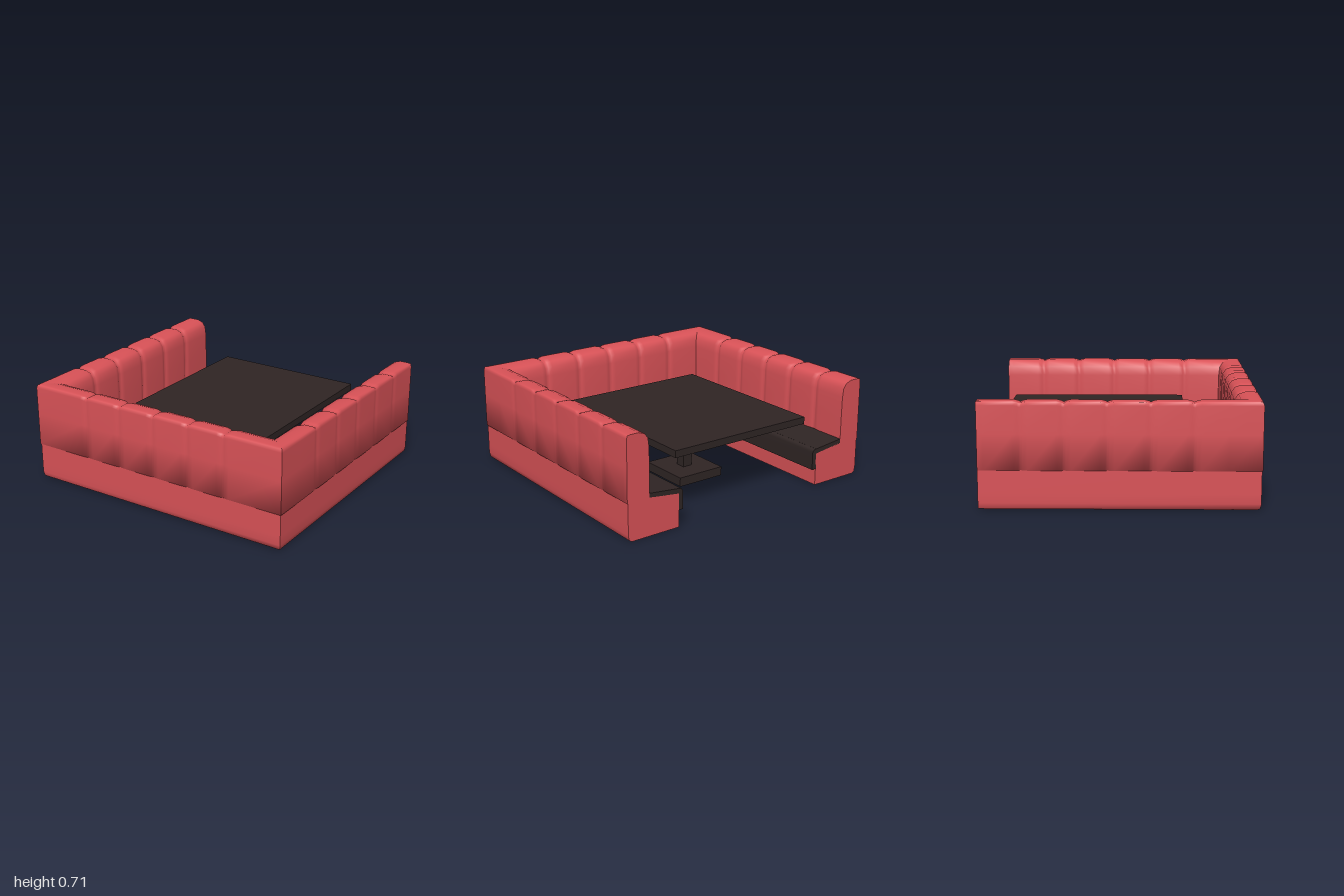
import * as THREE from 'three';

const red = new THREE.MeshStandardMaterial({ color: 0xd95257 });
red.name = 'red upholstery';
const dark = new THREE.MeshStandardMaterial({ color: 0x2f2524 });
dark.name = 'dark brown';

const HALF_X = 1, FRONT = 0.92, BACK = -0.92;

// Loft a convex closed profile through sections given as arrays of [x, y, z].
// Doubled profile points keep an edge sharp; single points are smooth.
function loft(sections, flip) {
  const pos = [], idx = [], n = sections[0].length;
  const tri = (a, b, c) => (flip ? idx.push(a, c, b) : idx.push(a, b, c));
  sections.forEach(s => s.forEach(p => pos.push(...p)));
  for (let i = 0; i + 1 < sections.length; i++) {
    for (let j = 0; j < n; j++) {
      const a = i * n + j, d = i * n + (j + 1) % n;
      tri(a, a + n, d + n);
      tri(a, d + n, d);
    }
  }
  [sections[0], sections[sections.length - 1]].forEach((s, end) => {
    const o = pos.length / 3;
    s.forEach(p => pos.push(...p));
    for (let k = 1; k + 1 < n; k++) {
      if (end) tri(o, o + k + 1, o + k);
      else tri(o, o + k, o + k + 1);
    }
  });
  const g = new THREE.BufferGeometry();
  g.setAttribute('position', new THREE.Float32BufferAttribute(pos, 3));
  g.setIndex(idx);
  g.computeVertexNormals();
  return g;
}

// Profile points are [inset from outer wall, height].
// Seams pinch the padding; a puffed panel lies between them.
function stations(seams, padded) {
  const list = [];
  seams.forEach(s => {
    if (padded) list.push([s - 0.045, 0], [s - 0.015, 0.45], [s, 1], [s + 0.015, 0.45], [s + 0.045, 0]);
  });
  return list;
}

function pinch([d, y], k) {
  return [d + k * 0.13 * (0.05 - d), y > 0.6 ? y - 0.014 * k : y];
}

// Three mitred legs around the U, open at the back
function addU(group, name, material, profile, padded = false) {
  const start = [[BACK, 0]];
  if (padded) start.push([BACK + 0.04, 0]);
  const armStations = [...start, ...stations([-0.64, -0.36, -0.08, 0.2, 0.48], padded), [0.7, 0]];
  for (const side of [-1, 1]) {
    const sections = armStations.map(([s, k]) => profile.map(p => {
      const [d, y] = pinch(p, k);
      return [side * (HALF_X - d), y, s];
    }));
    // mitre; where the inset is deep the leg is trimmed back to the diagonal
    sections.push(profile.map(([d, y]) => [side * (HALF_X - d), y, FRONT - d]));
    sections.forEach(sec => sec.forEach((p, j) => { p[2] = Math.min(p[2], FRONT - profile[j][0]); }));
    const mesh = new THREE.Mesh(loft(sections, side > 0), material);
    mesh.name = (side > 0 ? 'left' : 'right') + name;
    group.add(mesh);
  }
  const frontSections = [
    profile.map(([d, y]) => [-(HALF_X - d), y, FRONT - d]),
    ...stations([-0.56, -0.28, 0, 0.28, 0.56], padded).map(([s, k]) => profile.map(p => {
      const [d, y] = pinch(p, k);
      return [s, y, FRONT - d];
    })),
    profile.map(([d, y]) => [HALF_X - d, y, FRONT - d]),
  ];
  const mesh = new THREE.Mesh(loft(frontSections, false), material);
  mesh.name = 'front' + name;
  group.add(mesh);
}

export function createModel() {
  const booth = new THREE.Group();
  booth.name = 'booth';

  // Plinth with a softened lower edge
  addU(booth, 'Base', red, [
    [0.03, 0], [0.012, 0.012], [0.005, 0.045], [0.005, 0.11], [0.005, 0.265], [0.005, 0.265],
    [0.17, 0.265], [0.17, 0.265], [0.4, 0.235], [0.4, 0.235], [0.4, 0], [0.4, 0], [0.09, 0],
  ]);

  // Padded backrest
  addU(booth, 'Backrest', red, [
    [0, 0.263], [0, 0.5], [0, 0.69], [0.006, 0.712], [0.025, 0.715], [0.09, 0.715],
    [0.135, 0.7], [0.16, 0.665], [0.168, 0.6], [0.17, 0.45], [0.17, 0.263], [0.17, 0.263],
  ], true);

  // Thin seat cushion with a hanging front lip
  addU(booth, 'Seat', dark, [
    [0.165, 0.25], [0.165, 0.25], [0.165, 0.295], [0.165, 0.295], [0.4, 0.27], [0.4, 0.27],
    [0.4, 0.232], [0.4, 0.232],
  ]);
  addU(booth, 'SeatLip', dark, [
    [0.395, 0.12], [0.395, 0.12], [0.395, 0.27], [0.395, 0.27], [0.418, 0.268], [0.432, 0.25],
    [0.432, 0.12], [0.432, 0.12],
  ]);

  // Pedestal table
  const table = new THREE.Group();
  table.name = 'table';
  table.position.z = -0.19;
  const addBox = (name, w, h, d, y) => {
    const m = new THREE.Mesh(new THREE.BoxGeometry(w, h, d), dark);
    m.name = name;
    m.position.y = y + h / 2;
    table.add(m);
  };
  addBox('tableTop', 1.12, 0.05, 1.28, 0.44);
  addBox('tableColumn', 0.075, 0.4, 0.075, 0.05);
  addBox('tableFoot', 0.37, 0.065, 0.39, 0);
  booth.add(table);

  return booth;
}
